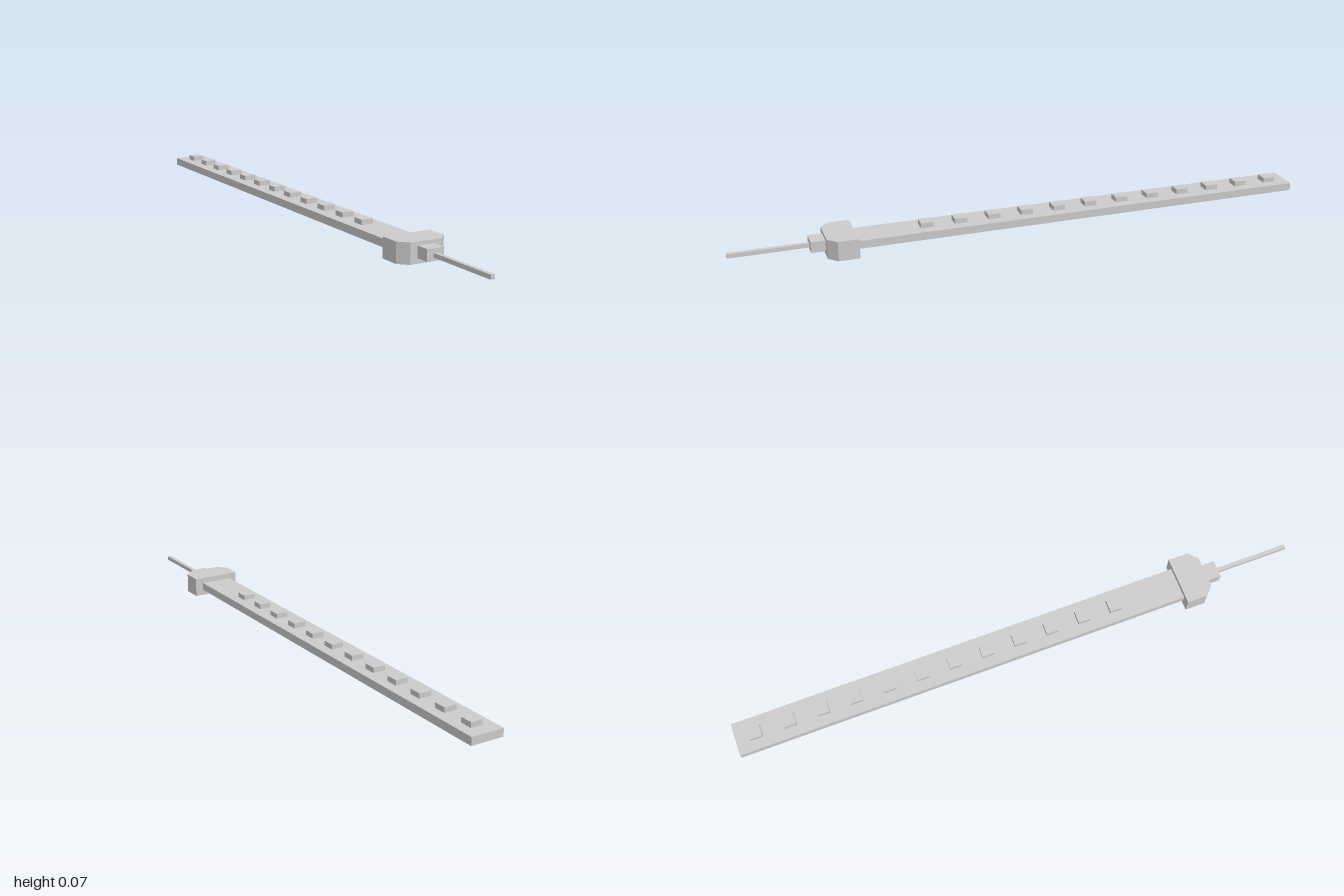
import * as THREE from 'three';

const material = new THREE.MeshStandardMaterial({ color: 0xcccccc, flatShading: true });

// Box given by its width and its y and z ranges, centred on x = 0
function slab(name, width, y0, y1, z0, z1) {
  const mesh = new THREE.Mesh(new THREE.BoxGeometry(width, y1 - y0, z1 - z0), material);
  mesh.position.set(0, (y0 + y1) / 2, (z0 + z1) / 2);
  mesh.name = name;
  return mesh;
}

export function createModel() {
  const model = new THREE.Group();
  model.name = 'lightStrip';

  // Long flat strip
  model.add(slab('strip', 0.114, 0.021, 0.048, -1, 0.59));

  // Row of small lights on top
  const lights = new THREE.Group();
  lights.name = 'lights';
  for (let i = 0; i < 12; i++) {
    const z = 0.35 - i * 0.1165;
    lights.add(slab('light' + (i + 1), 0.043, 0.048, 0.065, z - 0.0215, z + 0.0215));
  }
  model.add(lights);

  // Connector housing with chamfered front corners, drawn in plan (y = -z)
  const plan = new THREE.Shape([
    [-0.085, -0.59], [-0.085, -0.66], [-0.055, -0.69],
    [0.055, -0.69], [0.085, -0.66], [0.085, -0.59],
  ].map(([x, y]) => new THREE.Vector2(x, y)));
  const housingGeometry = new THREE.ExtrudeGeometry(plan, { depth: 0.067, bevelEnabled: false });
  housingGeometry.rotateX(-Math.PI / 2);
  const housing = new THREE.Mesh(housingGeometry, material);
  housing.name = 'connectorHousing';
  model.add(housing);

  // Cable collar and cable
  model.add(slab('cableCollar', 0.06, 0.017, 0.055, 0.69, 0.738));
  model.add(slab('cable', 0.014, 0.027, 0.041, 0.738, 1));

  return model;
}
